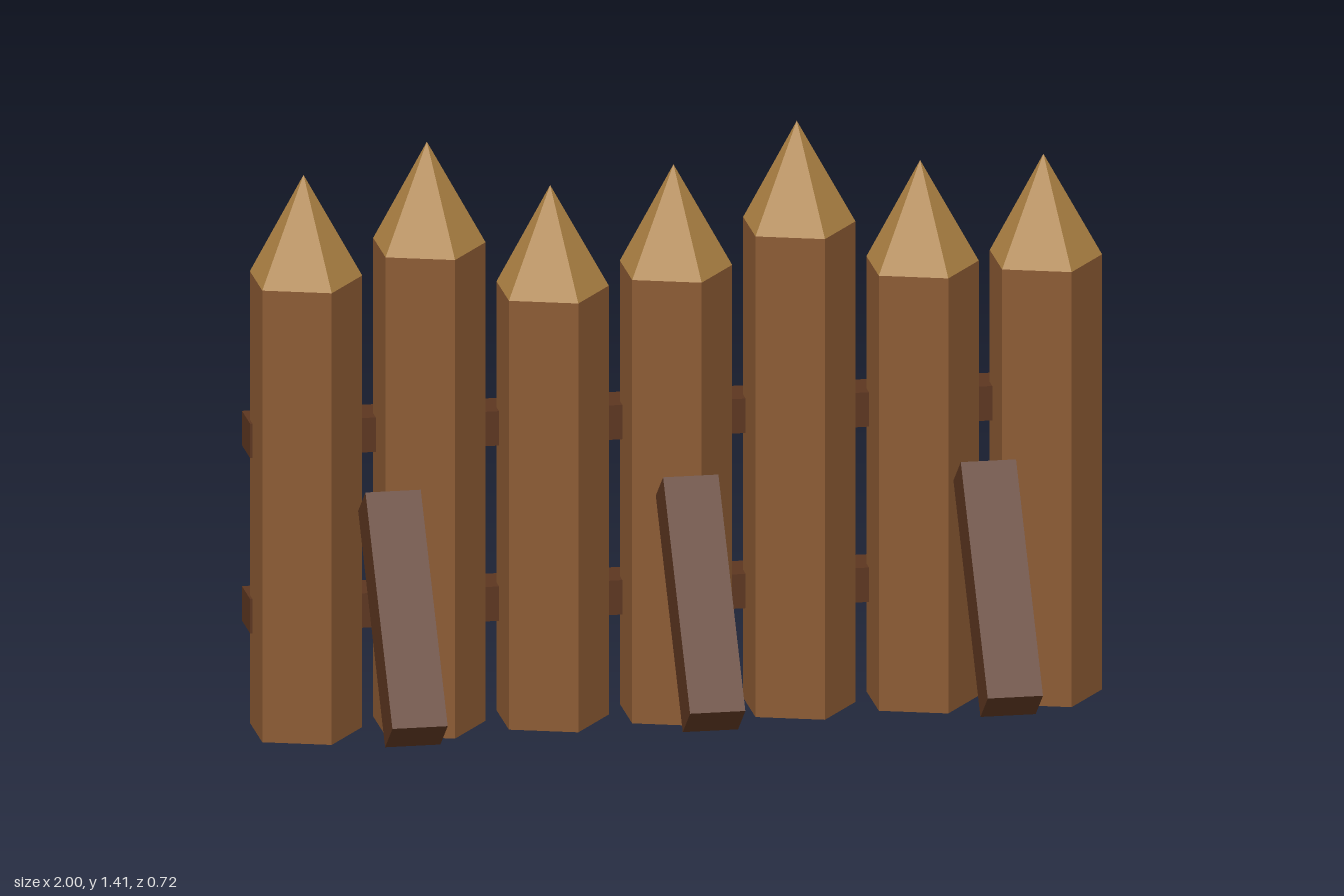
import * as THREE from 'three';

const makeMaterial = (color) => new THREE.MeshStandardMaterial({ color, flatShading: true });

export function createModel() {
  const fence = new THREE.Group();
  fence.name = 'palisadeFence';

  const postWood = makeMaterial(0x8b5a33);
  const tipWood = makeMaterial(0xb08445);
  const beamWood = makeMaterial(0x5c3620);

  const add = (parent, name, geometry, material, x, y, z) => {
    const mesh = new THREE.Mesh(geometry, material);
    mesh.name = name;
    mesh.position.set(x, y, z);
    parent.add(mesh);
    return mesh;
  };

  // Five-sided stakes of varying height, each with a pointed tip
  const radius = 0.138, tipHeight = 0.25, stakeZ = -0.205;
  const heights = [1.09, 1.155, 1.035, 1.07, 1.16, 1.05, 1.05];
  heights.forEach((h, i) => {
    const stake = new THREE.Group();
    stake.name = `stake${i + 1}`;
    stake.position.set(-0.883 + i * 0.29, 0, stakeZ);
    const shaft = new THREE.CylinderGeometry(radius, radius, h, 5, 1, false, Math.PI / 2);
    const tip = new THREE.ConeGeometry(radius, tipHeight, 5, 1, false, Math.PI / 2);
    add(stake, 'shaft', shaft, postWood, 0, h / 2, 0);
    add(stake, 'tip', tip, tipWood, 0, h + tipHeight / 2, 0);
    fence.add(stake);
  });

  // Horizontal rails across the back
  const railGeometry = new THREE.BoxGeometry(1.98, 0.083, 0.108);
  add(fence, 'lowerRail', railGeometry, beamWood, -0.01, 0.267, -0.306);
  add(fence, 'upperRail', railGeometry, beamWood, -0.01, 0.69, -0.306);

  // Slanted braces leaning on the front
  const braceGeometry = new THREE.BoxGeometry(0.13, 0.586, 0.12);
  [-0.711, -0.011, 0.689].forEach((x, i) => {
    const brace = add(fence, `brace${i + 1}`, braceGeometry, beamWood, x, 0.36, 0.138);
    brace.rotation.x = -0.645;
  });

  return fence;
}
